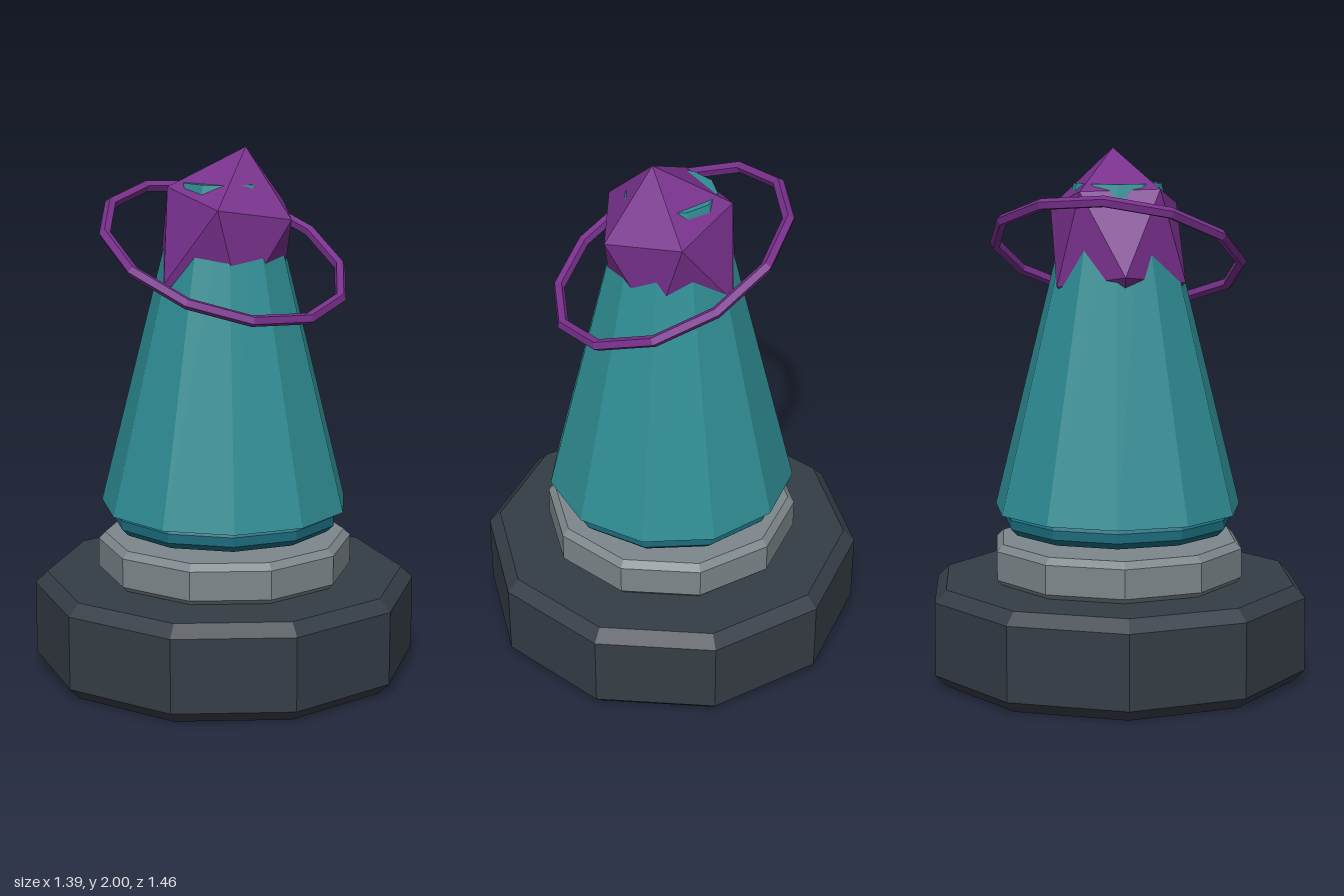
import * as THREE from 'three';

const material = (color) => new THREE.MeshStandardMaterial({ color, flatShading: true });

export function createModel() {
  const model = new THREE.Group();

  const add = (name, geometry, mat, y = 0) => {
    const mesh = new THREE.Mesh(geometry, mat);
    mesh.name = name;
    mesh.position.y = y;
    model.add(mesh);
    return mesh;
  };

  // Faceted disc with bevelled rims, standing on its own y = 0
  const bevelledDisc = (radius, height, bevel, sides, start = 0) =>
    new THREE.LatheGeometry([
      [0, 0], [radius - bevel, 0], [radius, bevel],
      [radius, height - bevel], [radius - bevel, height], [0, height],
    ].map(([x, y]) => new THREE.Vector2(x, y)), sides, start);

  // Stacked plinth
  add('base', bevelledDisc(0.73, 0.37, 0.045, 10), material(0x353d45));
  add('plate', bevelledDisc(0.485, 0.16, 0.025, 10), material(0x7d878b), 0.365);

  // Tapered tower floating on a narrow collar
  add('collar', bevelledDisc(0.437, 0.085, 0.025, 11, Math.PI), material(0x1b6b7c), 0.56);
  const tower = new THREE.CylinderGeometry(0.167, 0.474, 1.23, 11, 1, false, Math.PI);
  add('tower', tower, material(0x2e8c93), 0.64 + 1.23 / 2);

  // Crystal: stretched icosahedron stood on a corner, leaning forward to its left
  const purple = material(0x78308c);
  const crystal = new THREE.IcosahedronGeometry(1, 0)
    .rotateZ(Math.atan(2 / (1 + Math.sqrt(5))))
    .rotateY(-0.28)
    .scale(0.283, 0.37, 0.283);
  const lean = new THREE.Vector3(1, 0, -1).normalize();
  crystal.applyMatrix4(new THREE.Matrix4().makeRotationAxis(lean, 0.232));
  add('crystal', crystal, purple, 1.64);

  // Tilted halo around the crystal
  const halo = new THREE.TorusGeometry(0.468, 0.022, 5, 12)
    .rotateX(Math.PI / 2)
    .rotateY(-0.05)
    .rotateX(0.44)
    .rotateZ(-0.15);
  add('halo', halo, purple, 1.61);

  return model;
}
